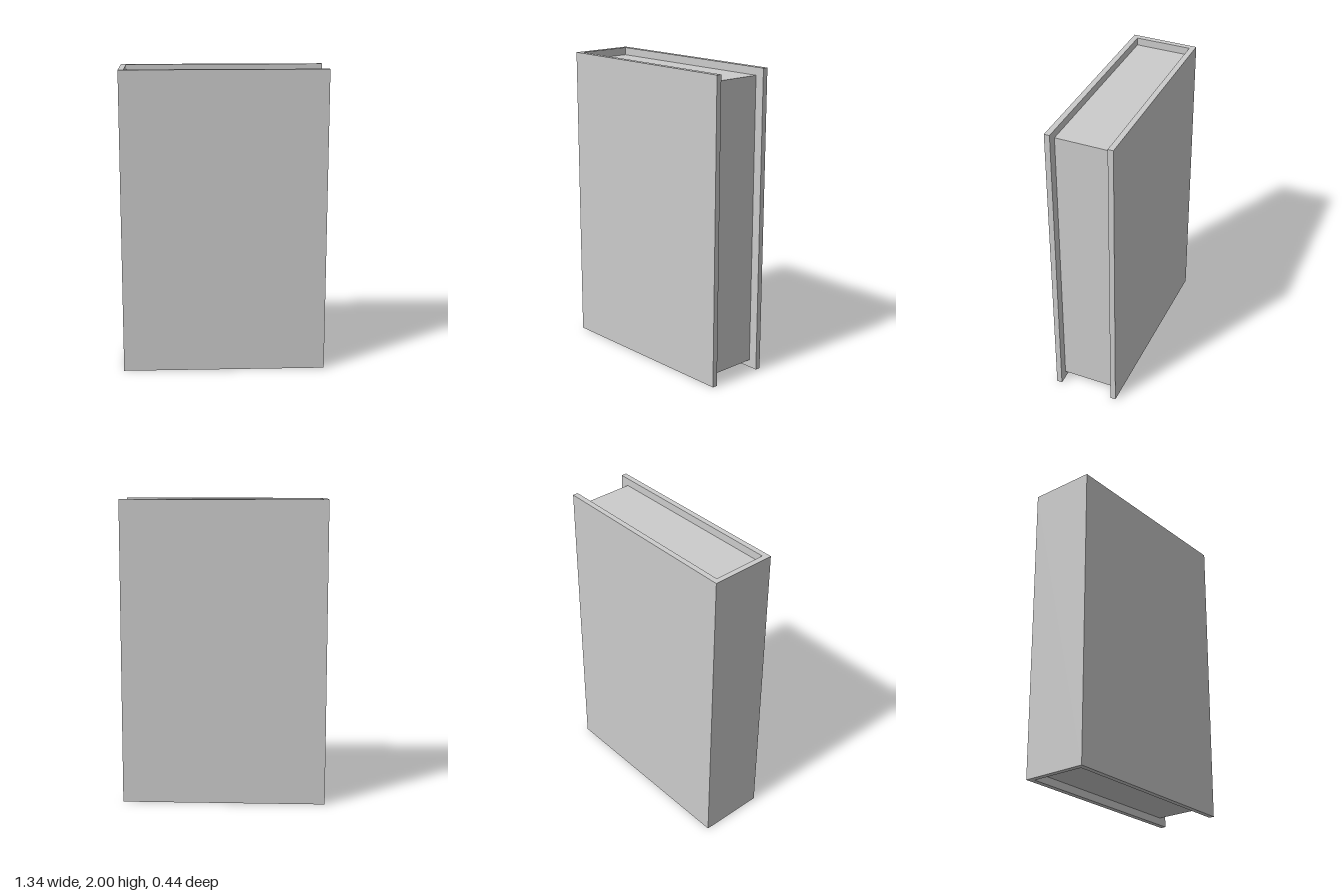
import * as THREE from 'three';

export function createModel() {
  const book = new THREE.Group();
  book.name = 'book';
  const material = new THREE.MeshStandardMaterial({ color: 0xcccccc, flatShading: true });

  const W = 0.67, D = 0.218, T = 0.036, H = 2;
  const inner = D - T;

  // Cover: U-shaped section (spine and two boards) extruded upwards
  const section = new THREE.Shape([
    [-W, -D], [W, -D], [W, -inner], [-W + T, -inner],
    [-W + T, inner], [W, inner], [W, D], [-W, D],
  ].map(([x, y]) => new THREE.Vector2(x, y)));
  const coverGeometry = new THREE.ExtrudeGeometry(section, { depth: H, bevelEnabled: false });
  coverGeometry.rotateX(-Math.PI / 2);
  const cover = new THREE.Mesh(coverGeometry, material);
  cover.name = 'cover';
  book.add(cover);

  // Page block: recessed at top, bottom and fore edge
  const x0 = -W + T, x1 = 0.61, inset = 0.05;
  const pages = new THREE.Mesh(new THREE.BoxGeometry(x1 - x0, H - 2 * inset, 2 * inner), material);
  pages.name = 'pages';
  pages.position.set((x0 + x1) / 2, H / 2, 0);
  book.add(pages);

  return book;
}
